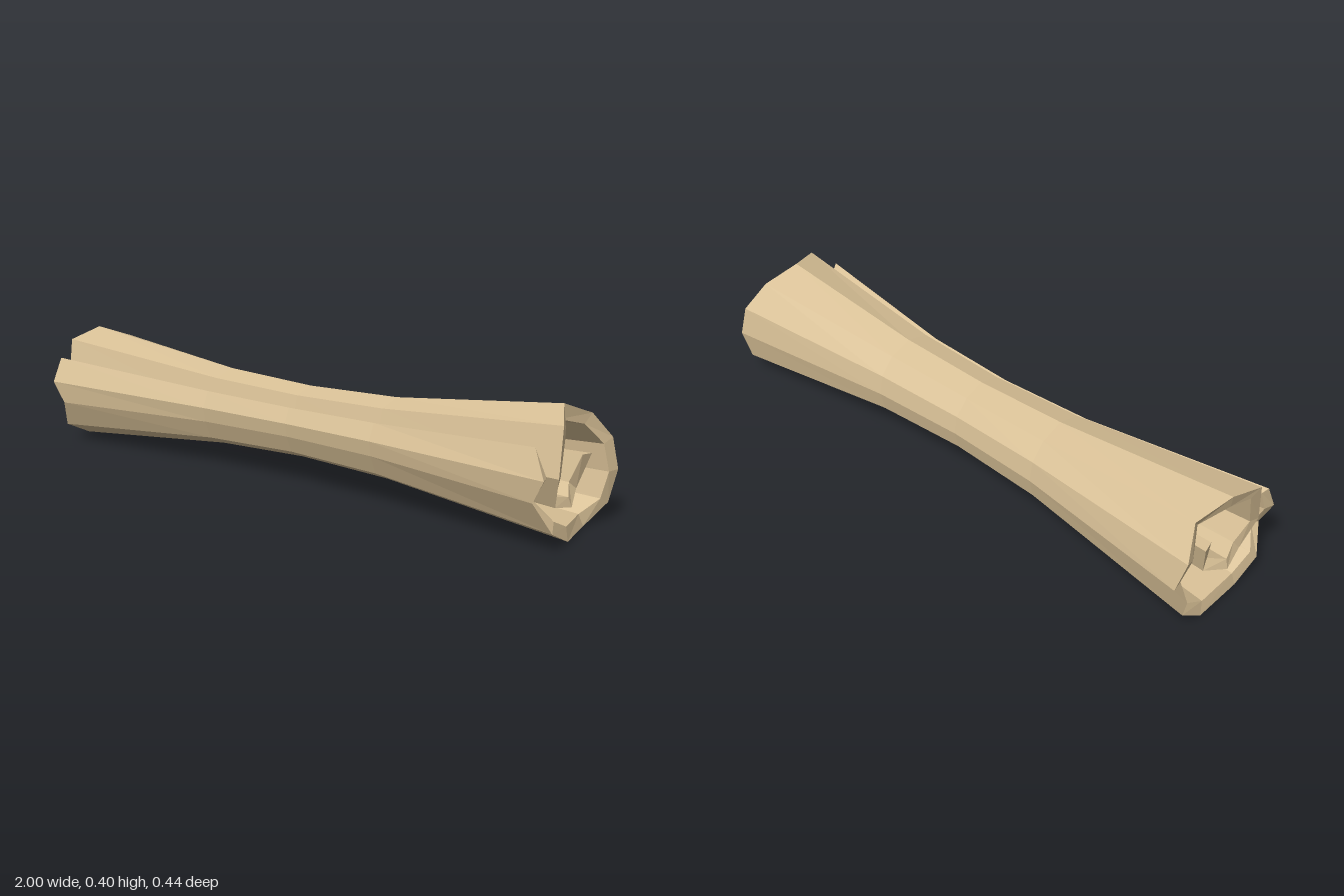
import * as THREE from 'three';

// Spiral cross-section of the rolled sheet at its ends, from the loose flap to the
// inner tongue: [outer z, outer y, inner z, inner y, right end x, left end x]
const SPIRAL = [
  [0.185, 0.312, 0.165, 0.30, 0.93, -0.985],
  [0.222, 0.23, 0.187, 0.23, 0.98, -0.99],
  [0.208, 0.155, 0.183, 0.155, 0.94, -0.955],
  [0.165, 0.06, 0.14, 0.09, 0.985, -0.99],
  [0.065, 0.01, 0.06, 0.053, 0.985, -0.985],
  [-0.105, 0.002, -0.09, 0.043, 0.95, -0.985],
  [-0.195, 0.062, -0.16, 0.08, 0.985, -0.98],
  [-0.22, 0.163, -0.178, 0.163, 1.0, -0.96],
  [-0.203, 0.265, -0.165, 0.25, 0.985, -0.985],
  [-0.128, 0.35, -0.10, 0.32, 0.95, -0.945],
  [-0.01, 0.397, 0.0, 0.35, 0.915, -0.985],
  [0.115, 0.367, 0.08, 0.34, 0.98, -1.0],
  [0.15, 0.22, 0.12, 0.22, 0.99, -0.985],
  [0.105, 0.118, 0.085, 0.145, 0.96, -0.96],
  [0.02, 0.10, 0.025, 0.13, 0.97, -0.98],
  [-0.065, 0.13, -0.035, 0.155, 0.94, -0.95],
  [-0.095, 0.237, -0.055, 0.24, 0.97, -0.97],
];

// The roll is pinched towards the middle: x position and scale of each ring
const RINGS = [[-1, 1], [-0.34, 0.66], [0, 0.6], [0.34, 0.66], [1, 1]];
const AXIS_Y = 0.195;

function rollGeometry() {
  // Closed outline: along the outer face, then back along the inner face
  const outline = [
    ...SPIRAL.map(([z, y, , , r, l]) => ({ z, y, r, l })),
    ...SPIRAL.map(([, , z, y, r, l]) => ({ z, y, r: r - 0.01, l: l + 0.01 })).reverse(),
  ];
  const n = outline.length;
  const positions = [];
  for (const [x, s] of RINGS) {
    for (const p of outline) {
      const px = x === 1 ? p.r : x === -1 ? p.l : x;
      positions.push(px, AXIS_Y + (p.y - AXIS_Y) * s, p.z * s);
    }
  }

  const index = [];
  const quad = (a, b, c, d) => index.push(a, b, c, a, c, d);
  // Walls
  for (let i = 0; i < RINGS.length - 1; i++) {
    for (let j = 0; j < n; j++) {
      const k = (j + 1) % n;
      quad(i * n + j, i * n + k, (i + 1) * n + k, (i + 1) * n + j);
    }
  }
  // Jagged end faces between outer and inner edge
  const last = (RINGS.length - 1) * n;
  for (let j = 0; j < SPIRAL.length - 1; j++) {
    const a = j, b = j + 1, c = n - 2 - j, d = n - 1 - j;
    quad(last + a, last + b, last + c, last + d);
    quad(d, c, b, a);
  }

  const indexed = new THREE.BufferGeometry();
  indexed.setAttribute('position', new THREE.Float32BufferAttribute(positions, 3));
  indexed.setIndex(index);
  const geometry = indexed.toNonIndexed();
  geometry.computeVertexNormals();
  return geometry;
}

export function createModel() {
  const group = new THREE.Group();
  group.name = 'rolledSheet';
  const parchment = new THREE.MeshStandardMaterial({ color: 0xd8c096, flatShading: true });
  parchment.name = 'parchment';
  const roll = new THREE.Mesh(rollGeometry(), parchment);
  roll.name = 'roll';
  group.add(roll);
  return group;
}
